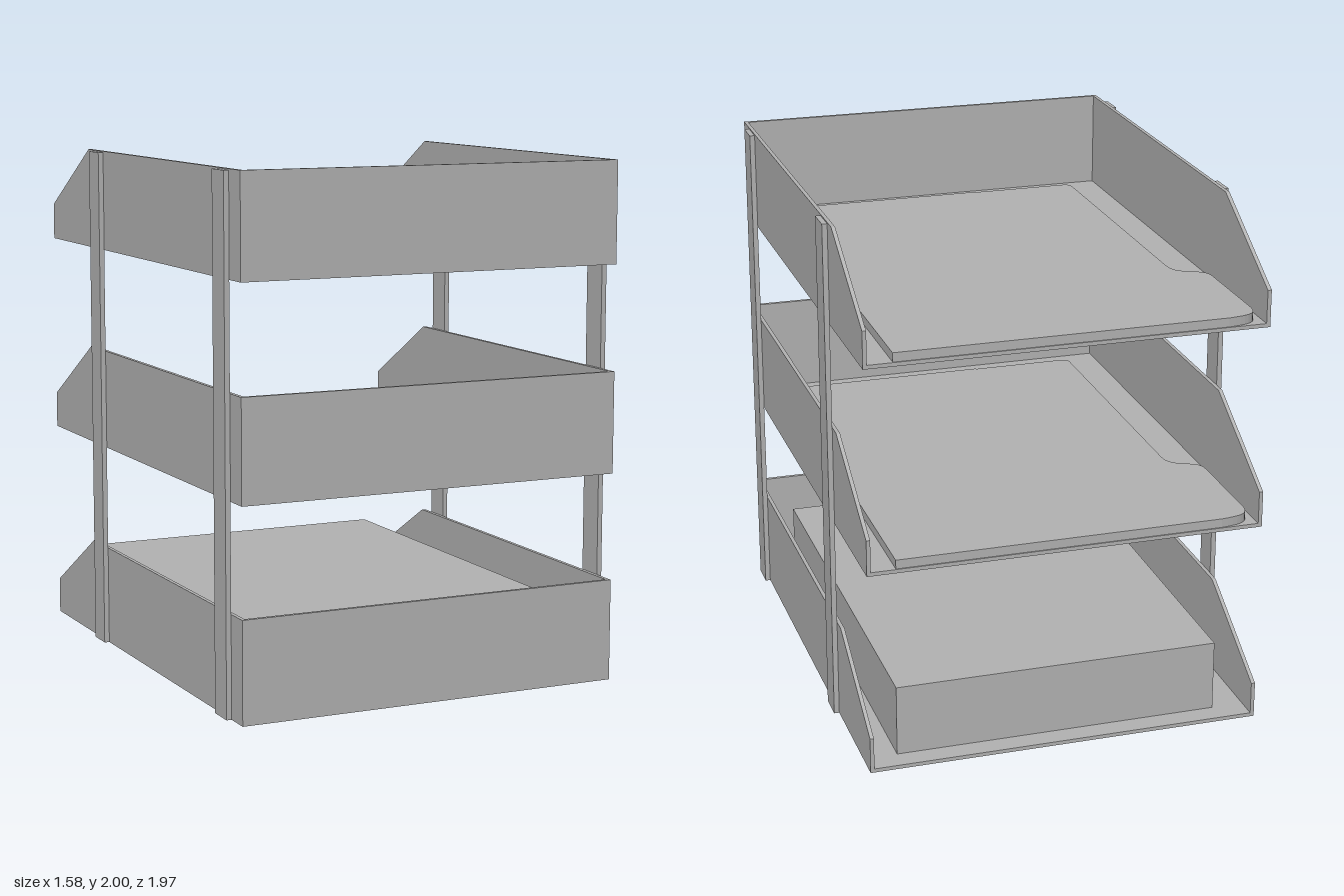
import * as THREE from 'three';

const grey = new THREE.MeshStandardMaterial({ name: 'grey', color: 0xb3b3b3 });

const HALF_W = 0.77, HALF_D = 0.985, HEIGHT = 0.393, T = 0.015;

function add(parent, name, geometry, x = 0, y = 0, z = 0) {
  const mesh = new THREE.Mesh(geometry, grey);
  mesh.name = name;
  mesh.position.set(x, y, z);
  parent.add(mesh);
  return mesh;
}

// box given by its minimum and maximum corners
function addBox(parent, name, a, b) {
  const size = b.map((v, i) => v - a[i]);
  const mid = b.map((v, i) => (v + a[i]) / 2);
  return add(parent, name, new THREE.BoxGeometry(...size), ...mid);
}

// side panel: profile in z and y, thin along x, sloping down to the open end
function sideWallGeometry() {
  const shape = new THREE.Shape([
    [-HALF_D, 0], [HALF_D, 0], [HALF_D, HEIGHT], [-0.55, HEIGHT], [-HALF_D, 0.143],
  ].map(([z, y]) => new THREE.Vector2(z, y)));
  return new THREE.ExtrudeGeometry(shape, { depth: T, bevelEnabled: false }).rotateY(-Math.PI / 2);
}

// folder outline seen from above, with a rounded tab on one edge
function folderGeometry(thickness) {
  const s = new THREE.Shape();
  s.moveTo(0.66, -0.84);
  s.lineTo(0.66, 0.98);
  s.lineTo(-0.61, 0.98);
  s.bezierCurveTo(-0.70, 0.97, -0.73, 0.96, -0.73, 0.88);
  s.lineTo(-0.73, 0.50);
  s.bezierCurveTo(-0.73, 0.41, -0.605, 0.46, -0.605, 0.34);
  s.lineTo(-0.605, -0.80);
  s.quadraticCurveTo(-0.605, -0.835, -0.57, -0.835);
  s.lineTo(-0.19, -0.835);
  s.lineTo(-0.18, -0.84);
  s.closePath();
  return new THREE.ExtrudeGeometry(s, { depth: thickness, bevelEnabled: false, curveSegments: 10 })
    .rotateX(-Math.PI / 2);
}

function createTray(name) {
  const tray = new THREE.Group();
  tray.name = name;
  const inner = HALF_W - T;
  addBox(tray, 'floor', [-inner, 0, -HALF_D], [inner, T, HALF_D - T]);
  addBox(tray, 'frontWall', [-inner, 0, HALF_D - T], [inner, HEIGHT, HALF_D]);
  const side = sideWallGeometry();
  add(tray, 'leftWall', side, HALF_W);
  add(tray, 'rightWall', side, -inner);
  return tray;
}

export function createModel() {
  const model = new THREE.Group();
  model.name = 'letterTray';

  // three stacked trays
  [['bottomTray', 0], ['middleTray', 0.807], ['topTray', 1.607]].forEach(([name, y], i) => {
    const tray = createTray(name);
    tray.position.y = y;
    if (i === 0) {
      addBox(tray, 'paperStack', [-0.63, T, -0.9], [0.645, 0.295, 0.84]);
    } else {
      add(tray, 'folder', folderGeometry(0.035), 0, T, 0);
    }
    model.add(tray);
  });

  // four uprights outside the side walls
  for (const side of [-1, 1]) {
    for (const z of [0.83, -0.437]) {
      add(model, 'upright', new THREE.BoxGeometry(0.02, 1.995, 0.107), side * 0.78, 0.9975, z);
    }
  }
  return model;
}
